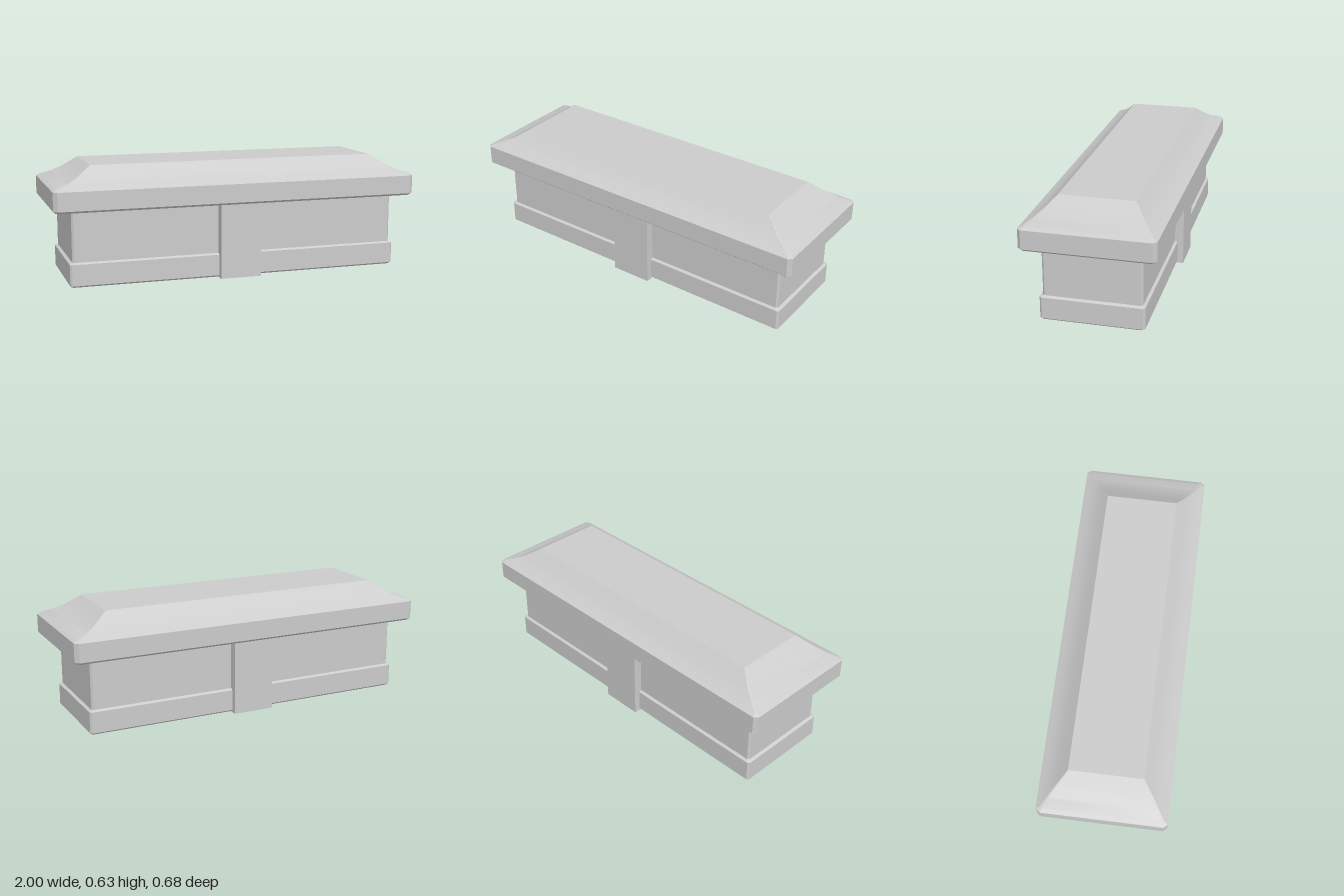
import * as THREE from 'three';
import { toCreasedNormals } from 'three/addons/utils/BufferGeometryUtils.js';

const material = new THREE.MeshStandardMaterial({ color: 0xcccccc });

// Corner-cut rectangle, as 8 points running from +x towards +z
function ring([y, hx, hz, cut]) {
  return [
    [hx, -hz + cut], [hx, hz - cut], [hx - cut, hz], [-hx + cut, hz],
    [-hx, hz - cut], [-hx, -hz + cut], [-hx + cut, -hz], [hx - cut, -hz],
  ].map(([x, z]) => [x, y, z]);
}

// Closed solid through sections [y, half width, half depth, corner cut], bottom to top
function loft(name, sections) {
  const rings = sections.map(ring);
  const pos = [];
  const tri = (a, b, c) => pos.push(...a, ...b, ...c);
  for (let s = 0; s < rings.length - 1; s++) {
    const lo = rings[s], hi = rings[s + 1];
    for (let i = 0; i < 8; i++) {
      const j = (i + 1) % 8;
      tri(lo[i], hi[i], hi[j]);
      tri(lo[i], hi[j], lo[j]);
    }
  }
  const bottom = rings[0], top = rings[rings.length - 1];
  for (let i = 1; i < 7; i++) {
    tri(bottom[0], bottom[i], bottom[i + 1]);
    tri(top[0], top[i + 1], top[i]);
  }
  const geometry = new THREE.BufferGeometry();
  geometry.setAttribute('position', new THREE.Float32BufferAttribute(pos, 3));
  const mesh = new THREE.Mesh(toCreasedNormals(geometry, 0.3), material);
  mesh.name = name;
  return mesh;
}

export function createModel() {
  const model = new THREE.Group();
  model.name = 'cappedBlock';

  // Lower body with a slightly thicker foot
  model.add(loft('body', [
    [0.003, 0.905, 0.257, 0.01],
    [0.012, 0.915, 0.267, 0.01],
    [0.125, 0.915, 0.267, 0.01],
    [0.133, 0.9, 0.253, 0.01],
    [0.41, 0.9, 0.253, 0.01],
  ]));

  // Overhanging cap: bevelled rim, then concave slopes up to a flat top
  model.add(loft('cap', [
    [0.405, 0.988, 0.328, 0.018],
    [0.416, 1, 0.34, 0.02],
    [0.515, 1, 0.34, 0.02],
    [0.527, 0.98, 0.318, 0.012],
    [0.545, 0.925, 0.287, 0.008],
    [0.57, 0.873, 0.255, 0.005],
    [0.599, 0.83, 0.224, 0.003],
    [0.628, 0.788, 0.194, 0.002],
  ]));

  // Central ribs standing proud on front and back
  for (const side of [1, -1]) {
    const rib = new THREE.Mesh(new THREE.BoxGeometry(0.226, 0.407, 0.1), material);
    rib.name = side > 0 ? 'frontRib' : 'backRib';
    rib.position.set(0, 0.2035, side * 0.25);
    model.add(rib);
  }
  return model;
}
